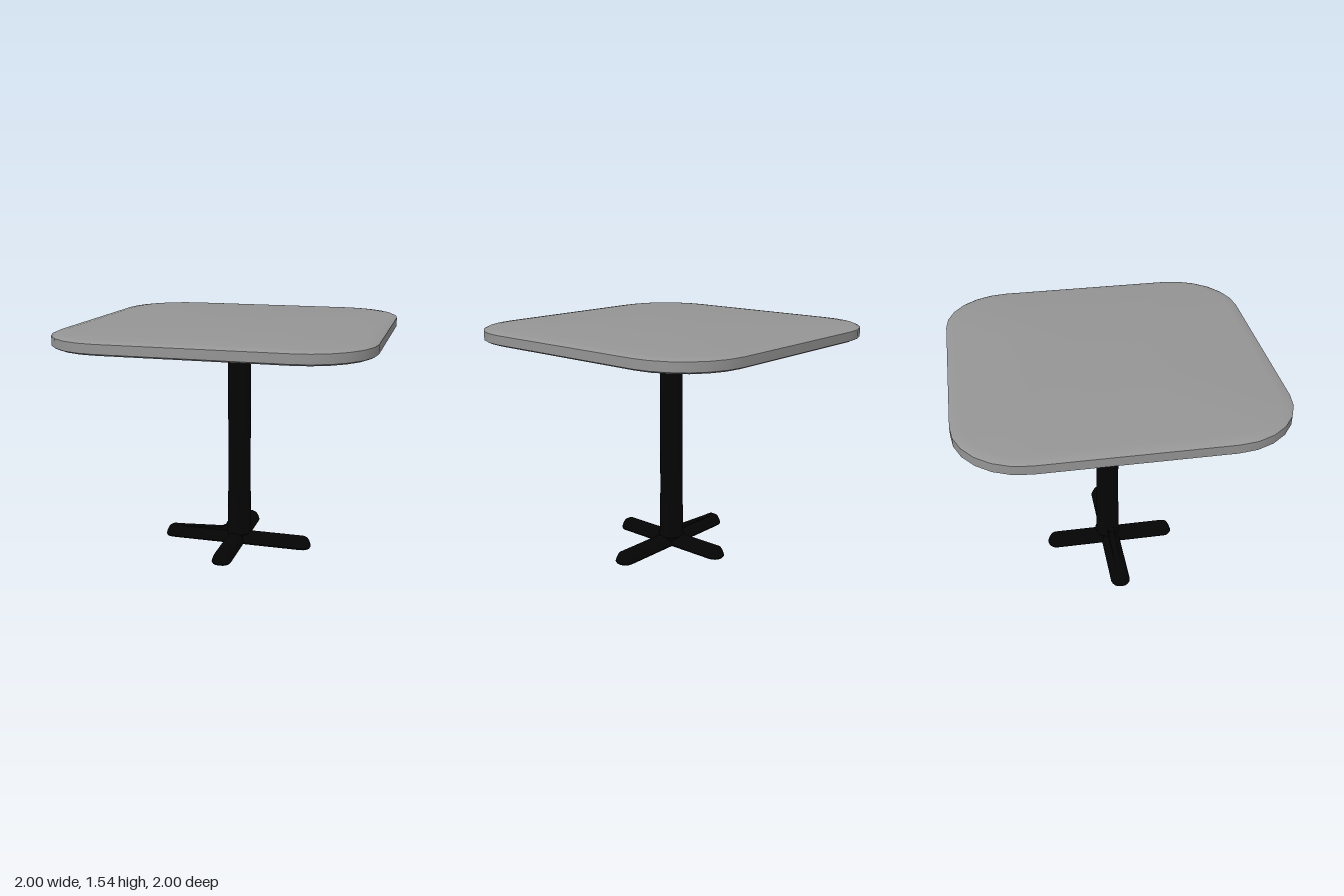
import * as THREE from 'three';
import { toCreasedNormals } from 'three/addons/utils/BufferGeometryUtils.js';

const grey = new THREE.MeshStandardMaterial({ color: 0x959595 });
const black = new THREE.MeshStandardMaterial({ color: 0x040404 });

// Rounded-rectangle slab: stacked outlines, each level is [y, inset]
function slab(hx, hz, radius, steps, levels) {
  const pos = [], index = [];
  const n = 4 * (steps + 1);
  for (const [y, inset] of levels) {
    const r = Math.max(radius - inset, 0.005);
    const cx = hx - inset - r, cz = hz - inset - r;
    for (let q = 0; q < 4; q++) {
      const sx = q === 0 || q === 3 ? 1 : -1, sz = q < 2 ? 1 : -1;
      for (let i = 0; i <= steps; i++) {
        const a = (q + i / steps) * Math.PI / 2;
        pos.push(sx * cx + r * Math.cos(a), y, sz * cz + r * Math.sin(a));
      }
    }
  }
  const last = levels.length - 1, bottom = n * levels.length, top = bottom + 1;
  pos.push(0, levels[0][0], 0, 0, levels[last][0], 0);
  for (let i = 0; i < n; i++) {
    const j = (i + 1) % n;
    for (let k = 0; k < last; k++) {
      const a = k * n + i, b = k * n + j;
      index.push(a, a + n, b, b, a + n, b + n);
    }
    index.push(bottom, i, j, top, last * n + j, last * n + i);
  }
  const g = new THREE.BufferGeometry();
  g.setAttribute('position', new THREE.Float32BufferAttribute(pos, 3));
  g.setIndex(index);
  return toCreasedNormals(g, 0.6);
}

export function createModel() {
  const group = new THREE.Group();
  const add = (name, geometry, material, x = 0, y = 0, z = 0) => {
    const mesh = new THREE.Mesh(geometry, material);
    mesh.name = name;
    mesh.position.set(x, y, z);
    group.add(mesh);
  };

  // Table top with softened upper and lower rims
  add('tableTop', slab(1, 1, 0.43, 6, [
    [1.455, 0.06], [1.46, 0.025], [1.472, 0], [1.53, 0], [1.539, 0.02], [1.545, 0.07],
  ]), grey);

  // Column, slightly thicker towards the foot and closed underneath
  const profile = [[0, 0.03], [0.06, 0.03], [0.09, 0.07], [0.082, 0.1], [0.079, 0.36], [0.077, 0.37], [0.077, 1.46]]
    .map(([r, y]) => new THREE.Vector2(r, y));
  add('column', toCreasedNormals(new THREE.LatheGeometry(profile, 20), 0.7), black, 0.024);

  // Two crossed foot bars with sloping sides and rounded tips
  const legLevels = [[0, 0.005], [0.01, 0], [0.04, 0.01], [0.062, 0.022], [0.075, 0.045]];
  add('footBarAcross', slab(0.5235, 0.066, 0.06, 4, legLevels), black, 0.0135, 0, 0.015);
  add('footBarDeep', slab(0.066, 0.455, 0.06, 4, legLevels), black, 0.01, 0, 0.015);

  // Sloping rib that runs from one foot up into the column
  const rib = new THREE.Shape([
    [-0.43, 0.06], [0, 0.06], [0, 0.14], [-0.055, 0.14], [-0.068, 0.11], [-0.1, 0.092], [-0.43, 0.074],
  ].map(([x, y]) => new THREE.Vector2(x, y)));
  add('footRib', new THREE.ExtrudeGeometry(rib, { depth: 0.044, bevelEnabled: false }), black, 0, 0, -0.007);

  return group;
}
